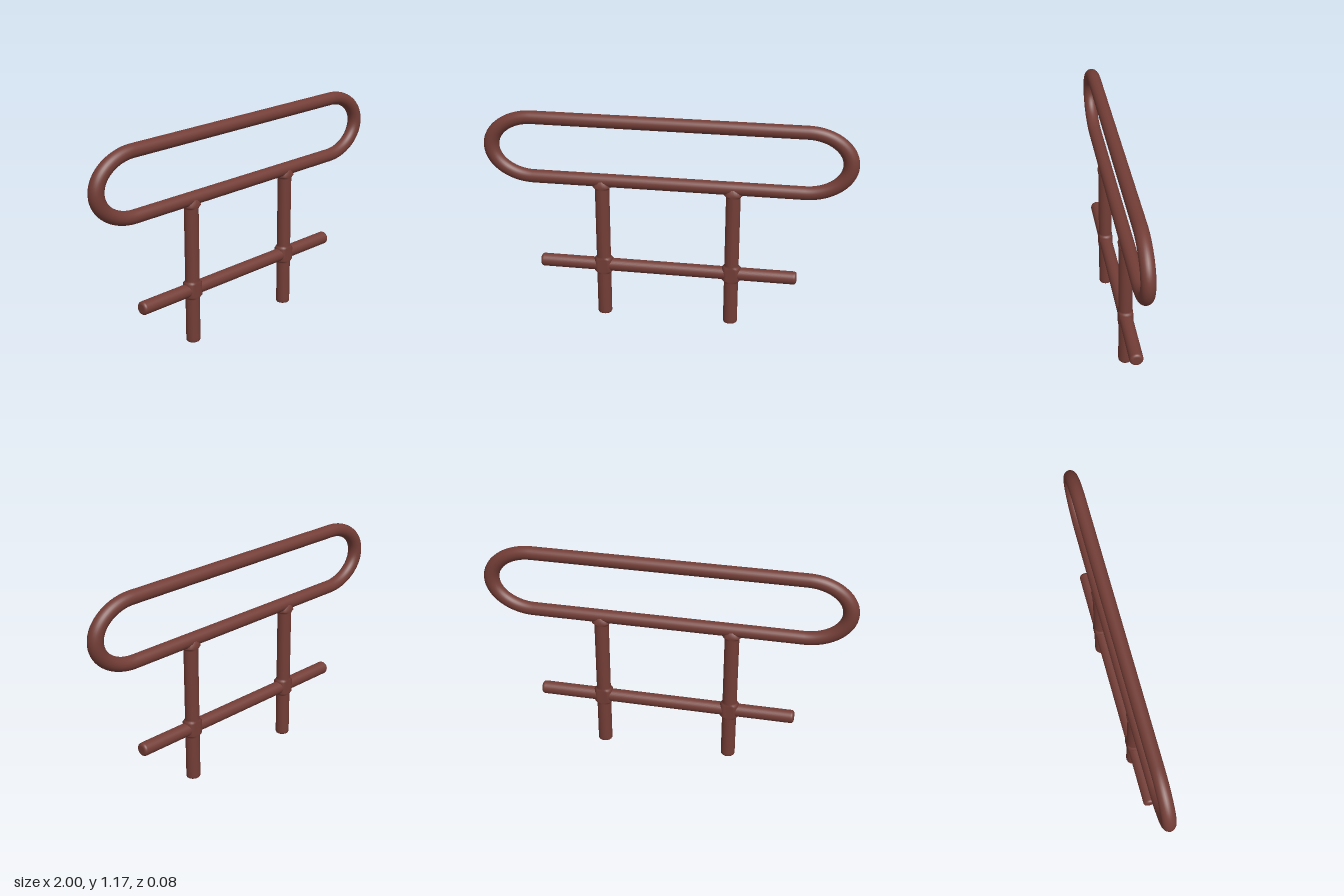
import * as THREE from 'three';

const R = 0.036;
const material = new THREE.MeshStandardMaterial({ color: 0x733d36, side: THREE.DoubleSide });

const v = (x, y) => new THREE.Vector3(x, y, 0);
const lathe = (points) =>
  new THREE.LatheGeometry(points.map(([r, y]) => new THREE.Vector2(r, y)), 32);

function part(name, geometry) {
  const mesh = new THREE.Mesh(geometry, material);
  mesh.name = name;
  return mesh;
}

// Closed handrail loop with elliptical ends
function handrailGeometry() {
  const low = 0.8, mid = 0.967, high = 1.134, sx = 0.73, ex = 0.958;
  const kx = 0.85, ky = 0.095;
  const path = new THREE.CurvePath();
  const bend = (...p) => path.add(new THREE.CubicBezierCurve3(...p.map(([x, y]) => v(x, y))));
  path.add(new THREE.LineCurve3(v(-sx, low), v(sx, low)));
  bend([sx, low], [kx, low], [ex, mid - ky], [ex, mid]);
  bend([ex, mid], [ex, mid + ky], [kx, high], [sx, high]);
  path.add(new THREE.LineCurve3(v(sx, high), v(-sx, high)));
  bend([-sx, high], [-kx, high], [-ex, mid + ky], [-ex, mid]);
  bend([-ex, mid], [-ex, mid - ky], [-kx, low], [-sx, low]);
  const geometry = new THREE.TubeGeometry(path, 240, R, 28, true);
  // The tube is slightly wider along x, so the bends are thicker
  const pos = geometry.attributes.position, nor = geometry.attributes.normal;
  for (let i = 0; i < pos.count; i++) pos.setX(i, pos.getX(i) + nor.getX(i) * 0.006);
  return geometry;
}

// Upright with small fillets where it meets the rails
function postGeometry() {
  const r = 0.039;
  const geometry = lathe([
    [0, 0], [r - 0.003, 0], [r, 0.006], [r, 0.02],
    [r, 0.246], [r + 0.004, 0.255], [r + 0.013, 0.264],
    [r + 0.013, 0.333], [r + 0.004, 0.342], [r, 0.351],
    [r, 0.748], [r + 0.004, 0.757], [r + 0.013, 0.766], [r, 0.8], [0, 0.8],
  ]);
  // Flatten the fillets front and back, so they only spread along the rails
  const pos = geometry.attributes.position;
  for (let i = 0; i < pos.count; i++) {
    pos.setZ(i, THREE.MathUtils.clamp(pos.getZ(i) * 0.95, -0.0385, 0.0385));
  }
  geometry.computeVertexNormals();
  return geometry;
}

// Straight lower rail with softly rounded ends
function lowerRailGeometry() {
  const half = 0.71, round = 0.016, profile = [[0, -half]];
  for (let i = 0; i <= 6; i++) {
    const a = (i / 6) * Math.PI / 2;
    profile.push([R - round + round * Math.sin(a), -half + round * (1 - Math.cos(a))]);
  }
  const mirrored = profile.map(([r, y]) => [r, -y]).reverse();
  return lathe([...profile, ...mirrored]).rotateZ(Math.PI / 2);
}

export function createModel() {
  const group = new THREE.Group();
  group.name = 'railing';
  group.add(part('handrailLoop', handrailGeometry()));

  const rail = part('lowerRail', lowerRailGeometry());
  rail.position.y = 0.298;
  group.add(rail);

  const post = postGeometry();
  for (const [name, x] of [['leftPost', 0.355], ['rightPost', -0.355]]) {
    const mesh = part(name, post);
    mesh.position.x = x;
    group.add(mesh);
  }
  return group;
}
